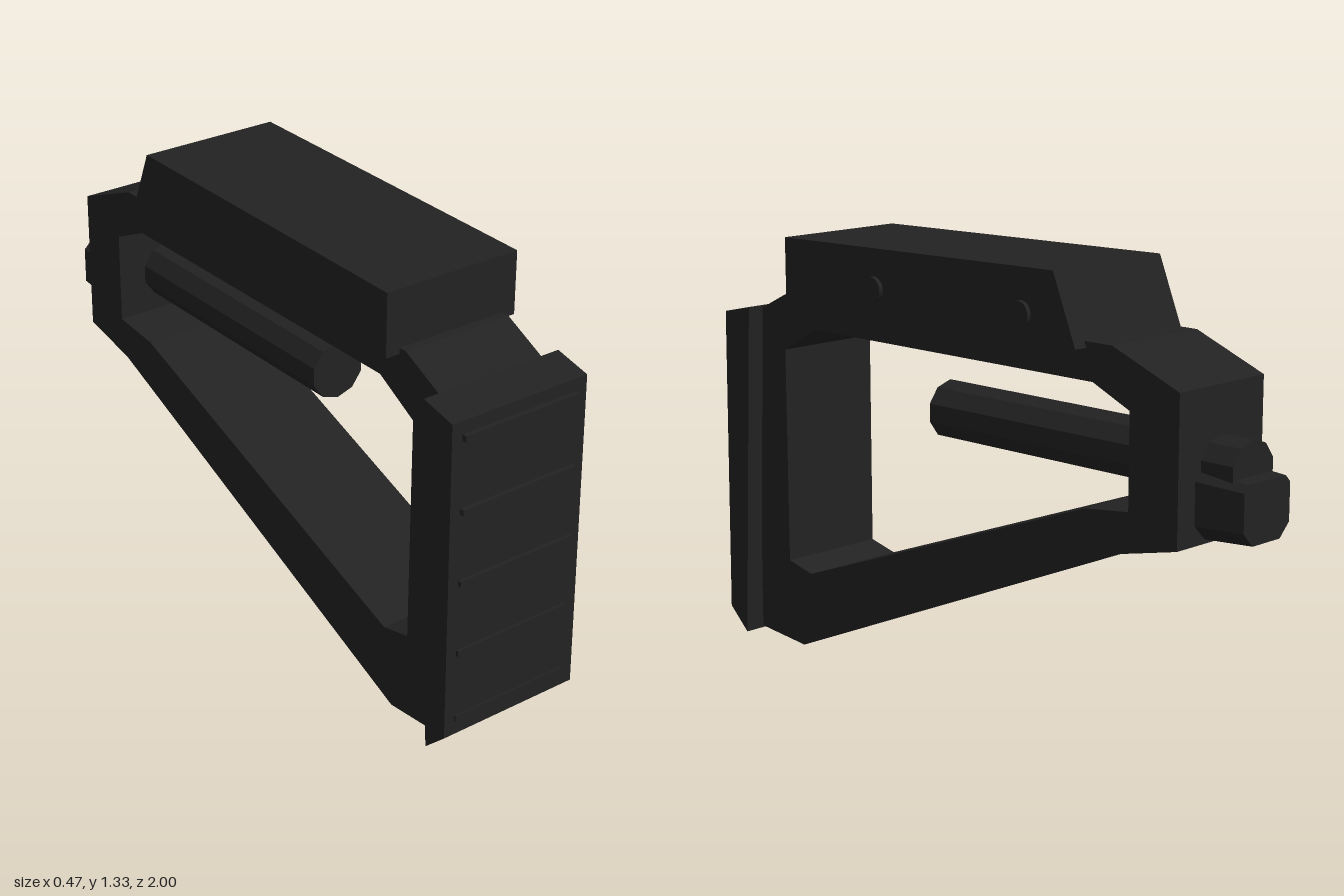
import * as THREE from 'three';

const black = new THREE.MeshStandardMaterial({ color: 0x222222 });
black.name = 'matte black';

const toVectors = (points) => points.map(([a, b]) => new THREE.Vector2(a, b));

// Side profile given as [z, y] points, extruded across x from x0 to x1
function profile(points, x0, x1, hole) {
  const shape = new THREE.Shape(toVectors(points));
  if (hole) shape.holes.push(new THREE.Path(toVectors(hole)));
  const geometry = new THREE.ExtrudeGeometry(shape, { depth: x1 - x0, bevelEnabled: false });
  geometry.rotateY(-Math.PI / 2);
  geometry.translate(x1, 0, 0);
  return geometry;
}

export function createModel() {
  const model = new THREE.Group();
  model.name = 'shoulderStock';
  const add = (name, geometry, x = 0, y = 0, z = 0) => {
    const mesh = new THREE.Mesh(geometry, black);
    mesh.name = name;
    mesh.position.set(x, y, z);
    model.add(mesh);
    return mesh;
  };

  // Open skeleton frame
  add('frame', profile(
    [[0.7, 0], [0.903, 0.02], [0.9, 0.3], [0.868, 1.07], [0.725, 1.14], [-0.6, 1.14],
      [-0.84, 1.045], [-0.84, 0.61], [-0.64, 0.565]],
    -0.18, 0.176,
    [[0.762, 0.95], [0.62, 1.03], [-0.53, 1.03], [-0.665, 0.97], [-0.665, 0.688],
      [-0.505, 0.67], [0.66, 0.243], [0.762, 0.268]]));

  // Butt pad with raised grip ribs
  add('buttPad', profile(
    [[0.918, 0.008], [0.995, 0.08], [0.983, 1.052], [0.868, 1.078]], -0.235, 0.231));
  for (const y of [1.005, 0.785, 0.565, 0.345, 0.133]) {
    add('padRib', new THREE.BoxGeometry(0.395, 0.018, 0.03), -0.003, y, 0.985);
  }

  // Cheek rest
  add('cheekRest', profile(
    [[0.7, 1.122], [0.7, 1.312], [-0.42, 1.33], [-0.505, 1.122]], -0.226, 0.22));

  // Bolts on the left side of the cheek rest
  for (const z of [0.3, -0.3]) {
    const bolt = new THREE.CylinderGeometry(0.038, 0.038, 0.03, 20);
    bolt.rotateZ(Math.PI / 2);
    add('bolt', bolt, 0.219, 1.197, z);
  }

  // Faceted buffer tube running through the back of the frame
  const tube = new THREE.CylinderGeometry(0.09, 0.09, 1.16, 10).toNonIndexed();
  tube.rotateX(Math.PI / 2);
  tube.computeVertexNormals();
  add('bufferTube', tube, -0.003, 0.818, -0.37);

  // Tapered tail block with chamfered edges
  const w = 0.11, h = 0.096, c = 0.045;
  const section = new THREE.Shape(toVectors([
    [-w + c, -h], [w - c, -h], [w, -h + c], [w, h - c / 2],
    [w - c / 2, h], [-w + c / 2, h], [-w, h - c / 2], [-w, -h + c]]));
  const tail = new THREE.ExtrudeGeometry(section, { depth: 0.17, bevelEnabled: false });
  const p = tail.attributes.position;
  for (let i = 0; i < p.count; i++) {
    if (p.getZ(i) < 0.01) p.setXY(i, p.getX(i) * 0.89, p.getY(i) * 0.9);
  }
  tail.computeVertexNormals();
  add('tailBlock', tail, -0.004, 0.718, -1);

  return model;
}
